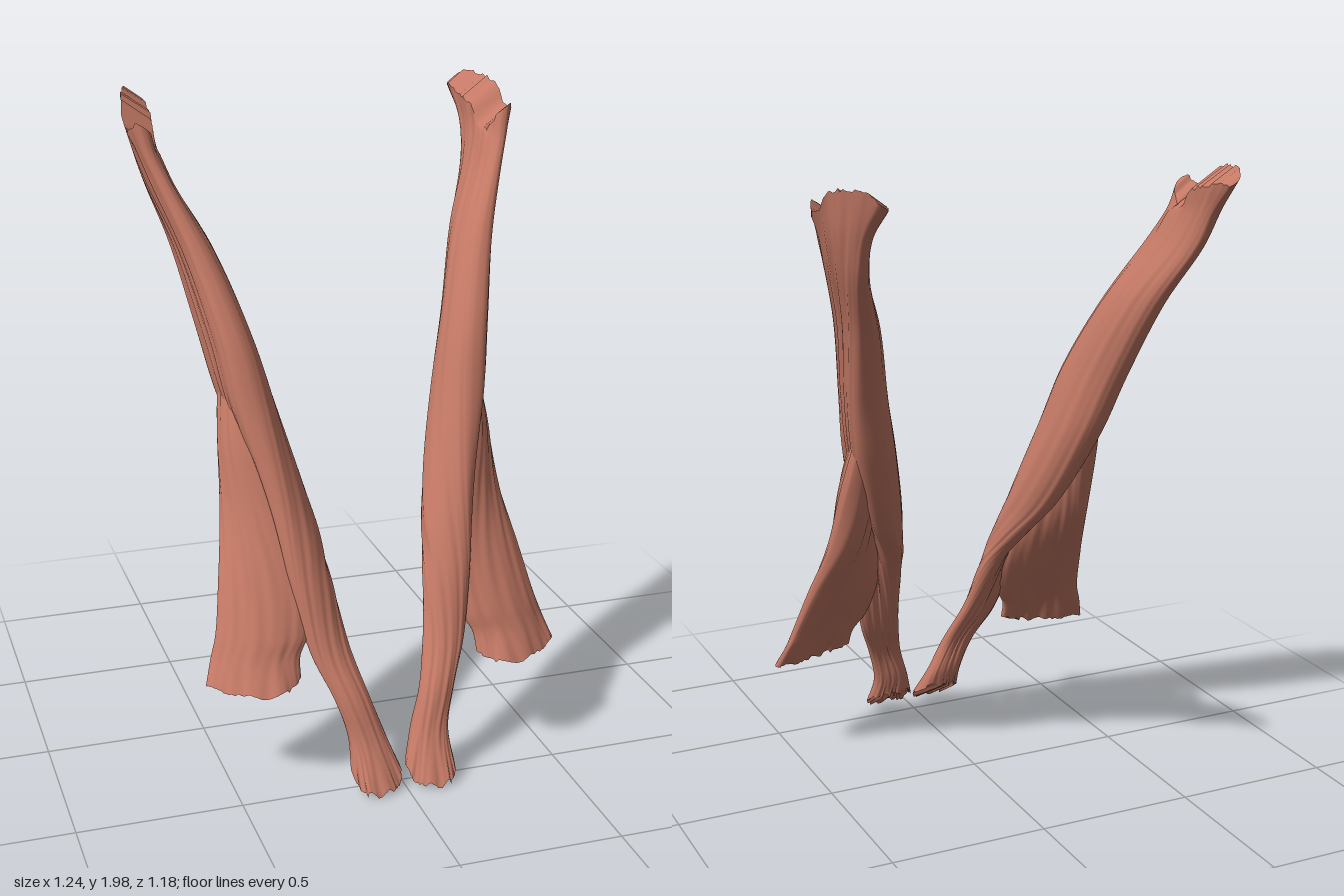
import * as THREE from 'three';

const RING = 96;   // points around a muscle
const STEPS = 72;  // rings along a muscle

// Each section: [half thickness, tilt, [x, y, z] points across the sheet], bottom to top
const STRAP = [
  [0.07, 0.042, [[0.018, 0.08, 0.485], [0.09, 0.055, 0.515], [0.162, 0.055, 0.52]]],
  [0.044, 0.01, [[0.045, 0.16, 0.455], [0.10, 0.155, 0.465], [0.158, 0.155, 0.465]]],
  [0.031, 0, [[0.083, 0.27, 0.42], [0.135, 0.27, 0.435], [0.19, 0.27, 0.425]]],
  [0.032, 0, [[0.12, 0.4, 0.345], [0.18, 0.4, 0.365], [0.245, 0.4, 0.365]]],
  [0.04, 0, [[0.168, 0.6, 0.225], [0.205, 0.6, 0.28], [0.285, 0.6, 0.31]]],
  [0.046, 0, [[0.225, 0.72, 0.125], [0.218, 0.72, 0.215], [0.3, 0.72, 0.275]]],
  [0.054, 0, [[0.30, 0.85, 0.03], [0.25, 0.85, 0.14], [0.315, 0.85, 0.235]]],
  [0.072, 0, [[0.38, 1.1, -0.095], [0.332, 1.1, 0.03], [0.355, 1.1, 0.15]]],
  [0.066, 0, [[0.425, 1.3, -0.175], [0.38, 1.3, -0.04], [0.385, 1.3, 0.08]]],
  [0.053, 0, [[0.475, 1.55, -0.305], [0.448, 1.55, -0.17], [0.455, 1.55, -0.05]]],
  [0.038, 0, [[0.53, 1.74, -0.43], [0.53, 1.74, -0.29], [0.53, 1.74, -0.155]]],
  [0.038, 0.005, [[0.54, 1.85, -0.495], [0.56, 1.84, -0.34], [0.565, 1.83, -0.2]]],
  [0.046, 0.032, [[0.535, 1.955, -0.595], [0.555, 1.96, -0.47], [0.57, 1.92, -0.37], [0.58, 1.865, -0.29], [0.58, 1.91, -0.22]]],
];
const FAN = [
  [0.03, 0, [[0.56, 0.33, 0.32], [0.47, 0.32, 0.375], [0.38, 0.315, 0.415], [0.285, 0.34, 0.38]]],
  [0.03, 0, [[0.535, 0.4, 0.285], [0.41, 0.4, 0.355], [0.278, 0.4, 0.36]]],
  [0.036, 0, [[0.515, 0.46, 0.265], [0.39, 0.46, 0.325], [0.245, 0.46, 0.335]]],
  [0.047, 0, [[0.48, 0.62, 0.18], [0.37, 0.61, 0.238], [0.225, 0.6, 0.275]]],
  [0.057, 0, [[0.437, 0.8, 0.065], [0.365, 0.8, 0.132], [0.27, 0.8, 0.205]]],
  [0.055, 0, [[0.41, 1.0, -0.02], [0.368, 1.0, 0.06], [0.325, 1.0, 0.14]]],
  [0.012, 0, [[0.4, 1.25, -0.1], [0.375, 1.25, -0.02], [0.365, 1.25, 0.05]]],
];

const hash = (i) => { const s = Math.sin(i * 127.1 + 3.7) * 43758.5453; return s - Math.floor(s); };

// Closed ring round a curved sheet: out along one face, back along the other
function ring([half, tilt, points], ragged) {
  const curve = new THREE.CatmullRomCurve3(points.map((p) => new THREE.Vector3(...p)));
  return Array.from({ length: RING }, (_, i) => {
    const a = (i / RING) * Math.PI * 2;
    const u = (1 - Math.cos(a)) / 2;
    const p = curve.getPoint(u);
    const d = curve.getTangent(u).setY(0).normalize();
    const s = Math.sin(a);
    const side = Math.sign(s) * Math.abs(s) ** 0.75;
    p.x += d.z * half * side;
    p.z -= d.x * half * side;
    p.y += tilt * side;
    // frayed end
    p.y += ragged * (hash(Math.round(u * 26)) - 0.5);
    return p;
  });
}

// Smooth loft through the sections, with fibre grooves and capped ends
function loft(sections, ragged, mirror) {
  const last = sections.length - 1;
  const rings = sections.map((s, k) => ring(s, k === 0 || k === last ? ragged : 0));
  const columns = Array.from({ length: RING }, (_, i) =>
    new THREE.CatmullRomCurve3(rings.map((r) => r[i])));
  const pos = [];
  const idx = [];
  for (let j = 0; j <= STEPS; j++) {
    const v = j / STEPS;
    const loop = columns.map((c) => c.getPoint(v));
    for (let i = 0; i < RING; i++) {
      const a = (i / RING) * Math.PI * 2;
      const tangent = loop[(i + 1) % RING].clone().sub(loop[(i + RING - 1) % RING]).setY(0).normalize();
      const groove = 0.0014 * Math.sin(a * 13 + v * 5) + 0.001 * Math.sin(a * 23 - v * 7 + 1);
      const g = groove * Math.abs(Math.sin(a));
      pos.push(loop[i].x + tangent.z * g, loop[i].y, loop[i].z - tangent.x * g);
    }
  }
  const tri = (a, b, c) => (mirror ? idx.push(a, c, b) : idx.push(a, b, c));
  for (let j = 0; j < STEPS; j++) {
    for (let i = 0; i < RING; i++) {
      const a = j * RING + i;
      const b = j * RING + ((i + 1) % RING);
      tri(a, a + RING, b);
      tri(b, a + RING, b + RING);
    }
  }
  // Caps join the two faces of the first and last ring
  for (const j of [0, STEPS]) {
    const base = pos.length / 3;
    pos.push(...pos.slice(j * RING * 3, (j + 1) * RING * 3));
    for (let i = 0; i < RING / 2; i++) {
      const a = base + i;
      const b = base + i + 1;
      const c = base + ((RING - i) % RING);
      const d = base + RING - i - 1;
      if (j === 0) { tri(a, b, c); tri(b, d, c); } else { tri(a, c, b); tri(b, c, d); }
    }
  }
  if (mirror) for (let k = 0; k < pos.length; k += 3) pos[k] *= -1;
  const geometry = new THREE.BufferGeometry();
  geometry.setAttribute('position', new THREE.Float32BufferAttribute(pos, 3));
  geometry.setIndex(idx);
  geometry.computeVertexNormals();
  return geometry;
}

export function createModel() {
  const group = new THREE.Group();
  group.name = 'neckMuscles';
  const material = new THREE.MeshStandardMaterial({ color: 0xc47965, side: THREE.DoubleSide });
  for (const side of ['left', 'right']) {
    const muscle = new THREE.Group();
    muscle.name = `${side}Muscle`;
    const parts = { MainStrap: [STRAP, 0.02], CollarboneHead: [FAN, 0.012] };
    for (const [part, [sections, ragged]] of Object.entries(parts)) {
      const mesh = new THREE.Mesh(loft(sections, ragged, side === 'right'), material);
      mesh.name = side + part;
      muscle.add(mesh);
    }
    group.add(muscle);
  }
  return group;
}
